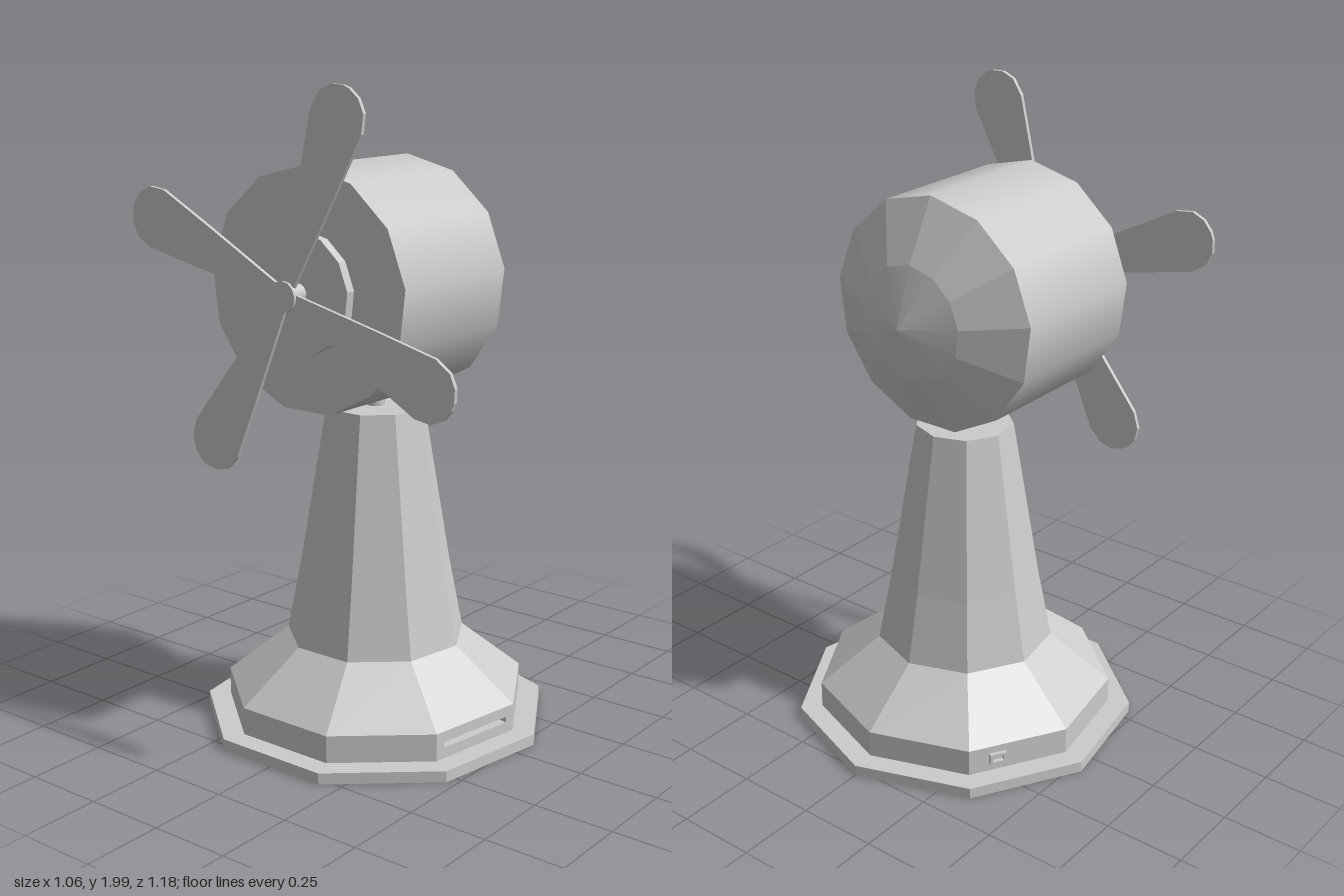
import * as THREE from 'three';

const grey = new THREE.MeshStandardMaterial({ color: 0xcccccc });
const flat = new THREE.MeshStandardMaterial({ color: 0xcccccc, flatShading: true });

function add(parent, name, geometry, material = flat) {
  const mesh = new THREE.Mesh(geometry, material);
  mesh.name = name;
  parent.add(mesh);
  return mesh;
}

// Nine-sided tier with one corner pointing to +x
function tier(parent, name, y0, y1, r0, r1) {
  const g = new THREE.CylinderGeometry(r1, r0, y1 - y0, 9, 1, false, Math.PI / 2);
  add(parent, name, g.translate(0, (y0 + y1) / 2, 0));
}

// Tapered drum along the x axis, one corner pointing up
function drum(parent, name, x0, x1, r0, r1, material = flat, open = false, sides = 13) {
  const g = new THREE.CylinderGeometry(r1, r0, x1 - x0, sides, 1, open, -Math.PI / 2);
  return add(parent, name, g.rotateZ(-Math.PI / 2).translate((x0 + x1) / 2, 0, 0), material);
}

function rect(path, w, h) {
  path.moveTo(-w / 2, -h / 2);
  path.lineTo(w / 2, -h / 2);
  path.lineTo(w / 2, h / 2);
  path.lineTo(-w / 2, h / 2);
  path.closePath();
  return path;
}

// Rectangular panel with an optional rectangular opening, front at z = 0
function panel(w, h, depth, holeW = 0, holeH = 0) {
  const shape = rect(new THREE.Shape(), w, h);
  if (holeW) shape.holes.push(rect(new THREE.Path(), holeW, holeH));
  return new THREE.ExtrudeGeometry(shape, { depth, bevelEnabled: false }).translate(0, 0, -depth);
}

function createBase() {
  const base = new THREE.Group();
  base.name = 'base';
  tier(base, 'footPlate', 0, 0.035, 0.544, 0.544);
  tier(base, 'skirtCore', 0.035, 0.12, 0.435, 0.435);
  tier(base, 'shoulder', 0.12, 0.275, 0.474, 0.281);
  tier(base, 'lowerColumn', 0.275, 0.5, 0.281, 0.237);
  tier(base, 'upperColumn', 0.5, 1.01, 0.237, 0.152);

  // Skirt panels, the front one slotted
  const R = 0.474, step = Math.PI * 2 / 9;
  const width = 2 * R * Math.sin(step / 2), apothem = R * Math.cos(step / 2);
  for (let i = 0; i < 9; i++) {
    const side = new THREE.Group();
    side.name = 'skirtSide';
    side.rotation.y = Math.PI / 2 - (i + 0.5) * step;
    base.add(side);
    const front = i === 2;
    const wall = add(side, front ? 'slottedPanel' : 'skirtPanel',
      panel(width, 0.085, 0.04, front ? 0.264 : 0, 0.018));
    wall.position.set(0, 0.0775, apothem);
    if (i === 7) {
      // Small hollow socket on a rear side
      const socket = add(side, 'socket', panel(0.055, 0.034, 0.014, 0.035, 0.018));
      socket.position.set(-0.07, 0.08, apothem + 0.014);
    }
  }

  // Neck pin
  add(base, 'neck', new THREE.CylinderGeometry(0.028, 0.028, 0.08, 16).translate(0, 1.04, 0), grey);
  base.position.x = -0.017;
  return base;
}

function createHead() {
  const head = new THREE.Group();
  head.name = 'head';
  head.position.y = 1.4;
  drum(head, 'housing', -0.345, 0.14, 0.36, 0.36, grey);
  drum(head, 'domeRing', 0.14, 0.237, 0.36, 0.178, flat, true);
  drum(head, 'domeTip', 0.237, 0.297, 0.178, 0, grey, true);
  drum(head, 'mountingRing', -0.375, -0.345, 0.18, 0.18);
  drum(head, 'shaft', -0.435, -0.375, 0.03, 0.03, grey, false, 16);
  drum(head, 'hubCap', -0.445, -0.43, 0.045, 0.045, grey, false, 13);
  return head;
}

function createPropeller() {
  const propeller = new THREE.Group();
  propeller.name = 'propeller';
  propeller.position.set(-0.436, 1.4, 0);
  propeller.rotation.y = Math.PI / 2;

  // Paddle outline: distance from hub, half width
  const half = [[0.02, 0.02], [0.33, 0.066], [0.53, 0.093], [0.585, 0.08], [0.615, 0.05], [0.628, 0.012]];
  const outline = [
    ...half.map(([r, w]) => new THREE.Vector2(r, -w)),
    ...half.slice().reverse().map(([r, w]) => new THREE.Vector2(r, w)),
  ];
  const geometry = new THREE.ExtrudeGeometry(new THREE.Shape(outline), { depth: 0.012, bevelEnabled: false });
  for (const degrees of [20, 111, 202, 301]) {
    add(propeller, 'blade', geometry).rotation.z = THREE.MathUtils.degToRad(degrees);
  }
  return propeller;
}

export function createModel() {
  const model = new THREE.Group();
  model.name = 'deskFan';
  model.add(createBase(), createHead(), createPropeller());
  return model;
}
